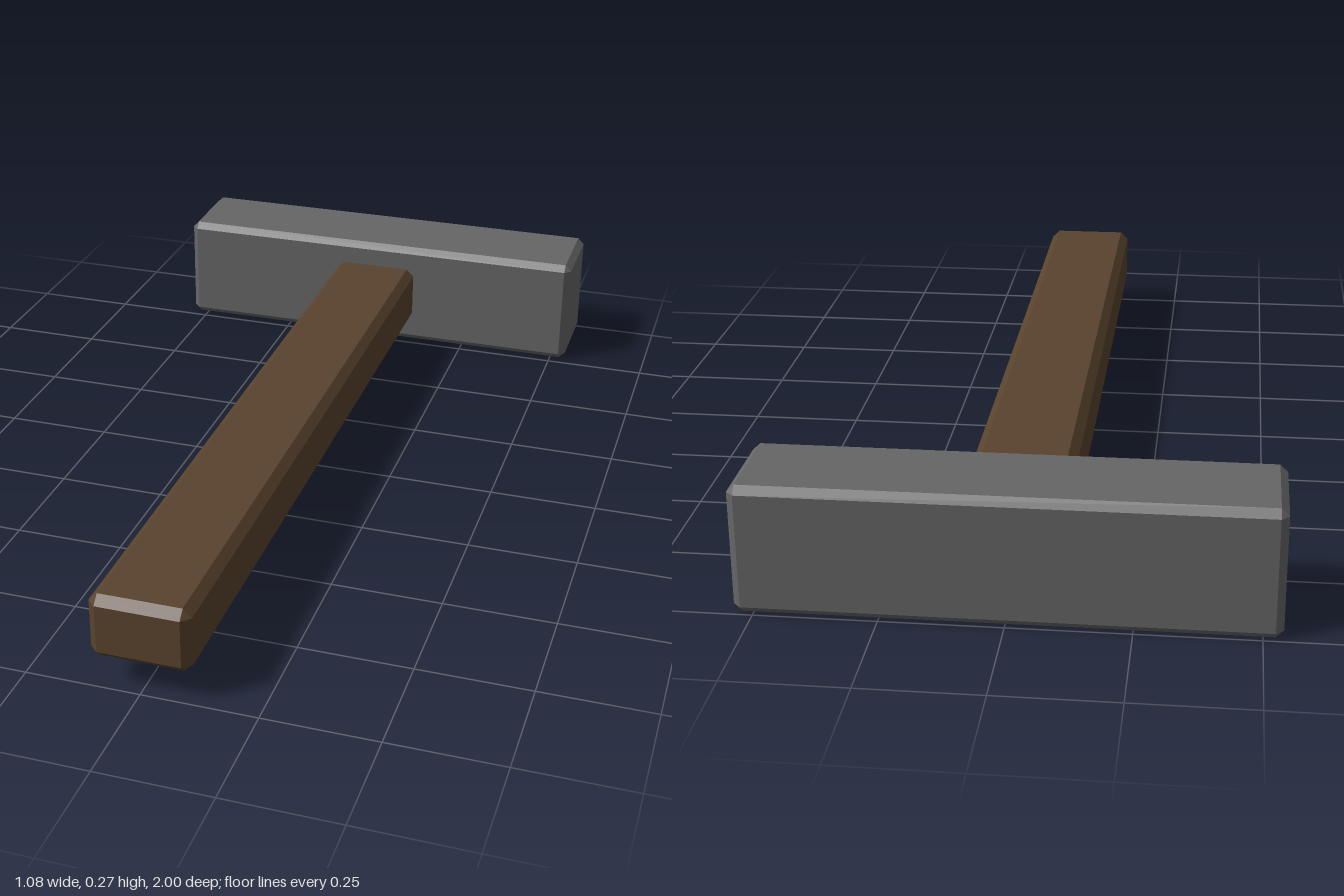
import * as THREE from 'three';
import { ConvexGeometry } from 'three/addons/geometries/ConvexGeometry.js';

// Box with flat chamfers along every edge, given by its min and max corners
function chamferedBox(name, min, max, bevel, material) {
  const size = max.map((v, i) => (v - min[i]) / 2);
  const points = [];
  for (const sx of [-1, 1]) for (const sy of [-1, 1]) for (const sz of [-1, 1]) {
    const sign = [sx, sy, sz];
    // Each corner becomes three points, one on each adjoining face
    for (let face = 0; face < 3; face++) {
      const p = sign.map((s, i) => s * (size[i] - (i === face ? 0 : bevel)));
      points.push(new THREE.Vector3(...p));
    }
  }
  const mesh = new THREE.Mesh(new ConvexGeometry(points), material);
  mesh.name = name;
  mesh.position.set(...max.map((v, i) => (v + min[i]) / 2));
  return mesh;
}

export function createModel() {
  const steel = new THREE.MeshStandardMaterial({ color: 0x666666 });
  steel.name = 'dark grey steel';
  const wood = new THREE.MeshStandardMaterial({ color: 0x59432d });
  wood.name = 'dark brown wood';

  const model = new THREE.Group();
  model.name = 'hammer';
  // Head across the back, handle running forward from inside it
  model.add(chamferedBox('head', [-0.54, 0, -1], [0.54, 0.274, -0.766], 0.016, steel));
  model.add(chamferedBox('handle', [-0.109, 0.065, -0.85], [0.109, 0.212, 1], 0.019, wood));
  return model;
}
